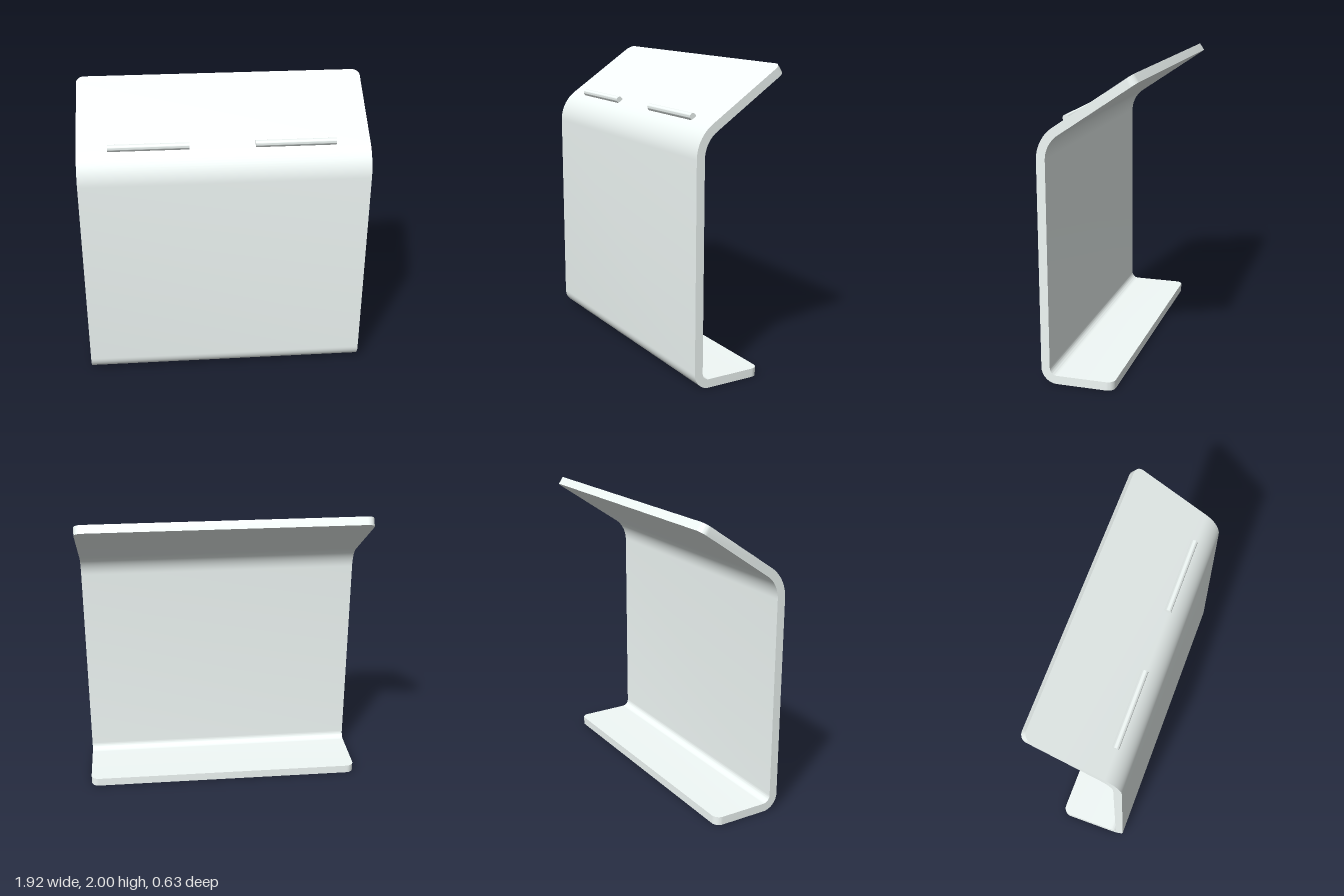
import * as THREE from 'three';
import { toCreasedNormals } from 'three/addons/utils/BufferGeometryUtils.js';

const HALF_W = 0.96, THICK = 0.057, CORNER = 0.052, FRONT = 0.315;
const FOOT_END = -0.168, FOOT_R = 0.105, BEND_R = 0.25;
const TURN = THREE.MathUtils.degToRad(56); // bend from the wall to the sloping top
const TOP = { z: -0.286, y: 2 };
const sin = Math.sin(TURN), cos = Math.cos(TURN);
const ARC = 14;

// Stations along the sheet's outer face: position, outward normal angle, half width
function stations() {
  const list = [];
  const add = (z, y, a, w = HALF_W) => list.push({ z, y, a, w });
  const corner = (i) => {
    const t = (i / 10) * Math.PI / 2;
    return [CORNER * (1 - Math.cos(t)), HALF_W - CORNER + CORNER * Math.sin(t)];
  };
  // Foot, with rounded free corners
  for (let i = 0; i <= 10; i++) {
    const [d, w] = corner(i);
    add(FOOT_END + d, 0, -Math.PI / 2, w);
  }
  // Bend from foot to wall
  for (let i = 0; i <= ARC; i++) {
    const a = -Math.PI / 2 * (1 - i / ARC);
    add(FRONT - FOOT_R + FOOT_R * Math.cos(a), FOOT_R + FOOT_R * Math.sin(a), a);
  }
  // Bend from wall to sloping top
  const zEnd = FRONT - BEND_R + BEND_R * cos;
  const yc = TOP.y - (zEnd - TOP.z) * cos / sin - BEND_R * sin;
  for (let i = 0; i <= ARC; i++) {
    const a = TURN * i / ARC;
    add(FRONT - BEND_R + BEND_R * Math.cos(a), yc + BEND_R * Math.sin(a), a);
  }
  // Sloping top, with rounded free corners
  for (let i = 10; i >= 0; i--) {
    const [d, w] = corner(i);
    add(TOP.z + d * sin, TOP.y - d * cos, TURN, w);
  }
  return list;
}

// Sheet lofted through a four-point section at each station
function sheetGeometry() {
  const rows = stations(), pos = [], index = [];
  for (const { z, y, a, w } of rows) {
    const zi = z - THICK * Math.cos(a), yi = y - THICK * Math.sin(a);
    pos.push(w, y, z, -w, y, z, -w, yi, zi, w, yi, zi);
  }
  const quad = (a, b, c, d) => index.push(a, b, c, a, c, d);
  for (let i = 0; i < rows.length - 1; i++) {
    for (let k = 0; k < 4; k++) {
      const n = (k + 1) % 4, p = i * 4, q = p + 4;
      quad(p + k, q + k, q + n, p + n);
    }
  }
  const e = (rows.length - 1) * 4;
  quad(0, 1, 2, 3);
  quad(e + 3, e + 2, e + 1, e);
  const g = new THREE.BufferGeometry();
  g.setAttribute('position', new THREE.Float32BufferAttribute(pos, 3));
  g.setIndex(index);
  return toCreasedNormals(g, 0.5);
}

// Round-topped ledge strip, its root sunk into the slope
function ledgeGeometry(length) {
  const r = 0.021, s = new THREE.Shape();
  s.moveTo(-r, -0.035);
  s.lineTo(r, -0.035);
  s.lineTo(r, 0);
  s.absarc(0, 0, r, 0, Math.PI, false);
  s.closePath();
  const g = new THREE.ExtrudeGeometry(s, { depth: length, bevelEnabled: false, curveSegments: 16 });
  g.translate(0, 0, -length / 2);
  g.rotateY(Math.PI / 2);
  g.rotateX(Math.PI / 2 - TURN); // tip the strip square to the slope
  return toCreasedNormals(g, 0.5);
}

export function createModel() {
  const group = new THREE.Group();
  const material = new THREE.MeshStandardMaterial({ color: 0xf2faf8 });

  const sheet = new THREE.Mesh(sheetGeometry(), material);
  sheet.name = 'bentSheet';
  group.add(sheet);

  const ledge = ledgeGeometry(0.53);
  for (const [name, x] of [['rightLedge', -0.493], ['leftLedge', 0.468]]) {
    const mesh = new THREE.Mesh(ledge, material);
    mesh.name = name;
    mesh.position.set(x, 1.687, 0.202);
    group.add(mesh);
  }
  return group;
}
